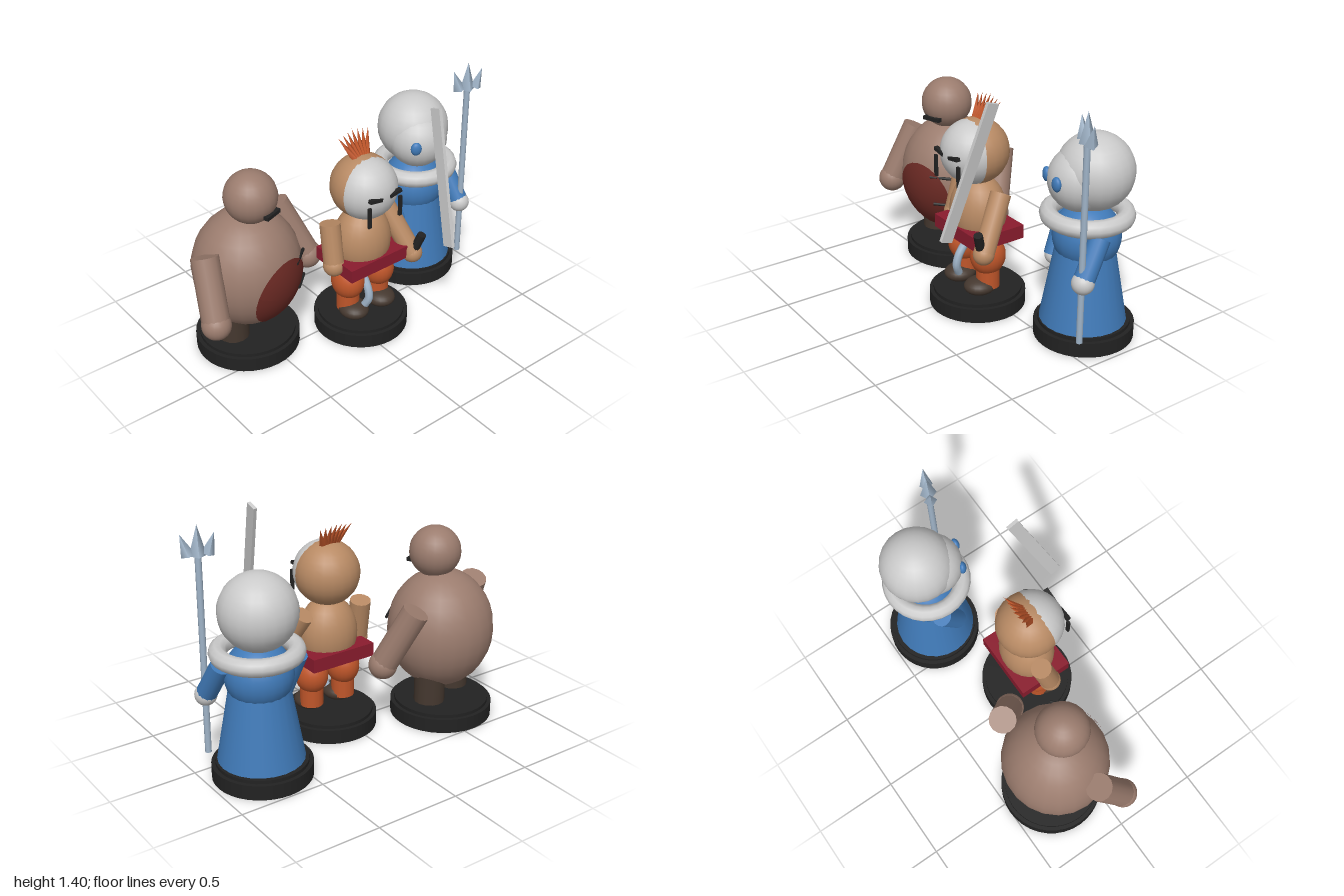
import * as THREE from 'three';

const paint = (name, color) => {
  const m = new THREE.MeshStandardMaterial({ color });
  m.name = name;
  return m;
};

export function createModel() {
  const black = paint('black', 0x222222);
  const umber = paint('dusty brown skin', 0x9b7c6e);
  const darkBrown = paint('dark brown', 0x45382f);
  const rust = paint('dark rust', 0x6c2a24);
  const tan = paint('tan skin', 0xb88a64);
  const white = paint('pale grey', 0xcacaca);
  const orange = paint('orange', 0xc0562a);
  const crimson = paint('crimson', 0x8a1c2e);
  const blue = paint('blue', 0x407ab8);
  const steel = paint('pale steel', 0xa0b4c8);

  const model = new THREE.Group();
  const V = (p) => new THREE.Vector3(...p);
  const UP = new THREE.Vector3(0, 1, 0);
  const figure = (name) => {
    const g = new THREE.Group();
    g.name = name;
    model.add(g);
    return g;
  };
  const add = (g, name, geo, mat, pos = [0, 0, 0], rot = [0, 0, 0]) => {
    const m = new THREE.Mesh(geo, mat);
    m.name = name;
    m.position.set(...pos);
    m.rotation.set(...rot);
    g.add(m);
    return m;
  };
  const ball = (g, name, mat, pos, r, rot) => {
    const m = add(g, name, new THREE.SphereGeometry(1, 22, 16), mat, pos, rot);
    m.scale.set(...(Array.isArray(r) ? r : [r, r, r]));
    return m;
  };
  const box = (g, name, mat, size, pos, rot) =>
    add(g, name, new THREE.BoxGeometry(...size), mat, pos, rot);
  // Cylinder or cone running from point a to point b
  const rod = (g, name, mat, a, b, ra, rb = ra, sides = 14) => {
    const d = V(b).sub(V(a));
    const geo = new THREE.CylinderGeometry(rb, ra, d.length(), sides);
    const m = add(g, name, geo, mat, V(a).add(V(b)).multiplyScalar(0.5).toArray());
    m.quaternion.setFromUnitVectors(UP, d.normalize());
    return m;
  };
  const arm = (g, side, sleeve, skin, shoulder, hand, r, handR) => {
    rod(g, side + 'Arm', sleeve, shoulder, hand, r);
    ball(g, side + 'Hand', skin, hand, handR);
  };
  // Stepped round stand
  const stand = (g, x, z, r) => {
    rod(g, 'baseLower', black, [x, 0, z], [x, 0.085, z], r, r, 36);
    rod(g, 'baseUpper', black, [x, 0.085, z], [x, 0.105, z], r - 0.022, r - 0.022, 36);
  };

  // ---- Large round figure, turned slightly to its left
  const brute = figure('largeFigure');
  stand(brute, -0.56, -0.205, 0.3);
  ball(brute, 'body', umber, [-0.555, 0.54, -0.185], [0.315, 0.355, 0.305]);
  ball(brute, 'head', umber, [-0.537, 1.0, -0.14], 0.15);
  [[-0.685, -0.16], [-0.433, -0.25]].forEach(([x, z], i) =>
    rod(brute, i ? 'leftLeg' : 'rightLeg', darkBrown, [x, 0.125, z], [x, 0.4, z], 0.09));
  arm(brute, 'right', umber, umber, [-0.86, 0.755, -0.12], [-0.91, 0.415, 0.035], 0.078, 0.083);
  arm(brute, 'left', umber, umber, [-0.25, 0.755, -0.33], [-0.125, 0.415, -0.2], 0.078, 0.083);
  box(brute, 'mouth', black, [0.115, 0.022, 0.03], [-0.492, 0.933, -0.007], [0, 0.33, 0]);

  // Belly patch: a cap following the body
  const cap = new THREE.SphereGeometry(1, 26, 8, 0, Math.PI * 2, 0, 0.66);
  cap.applyQuaternion(new THREE.Quaternion().setFromUnitVectors(UP, V([0.24, -0.28, 0.93]).normalize()));
  cap.scale(0.32, 0.36, 0.31);
  cap.computeVertexNormals();
  add(brute, 'bellyPatch', cap, rust, [-0.555, 0.54, -0.185]);
  rod(brute, 'upperStitch', black, [-0.4, 0.61, 0.075], [-0.28, 0.61, -0.025], 0.009, 0.009, 6);
  rod(brute, 'lowerStitch', black, [-0.38, 0.44, 0.065], [-0.28, 0.44, -0.025], 0.009, 0.009, 6);

  // ---- Masked swordsman
  const fighter = figure('maskedFigure');
  stand(fighter, 0.07, 0.06, 0.277);
  ball(fighter, 'torso', tan, [0.075, 0.58, 0.06], [0.175, 0.22, 0.155]);
  ball(fighter, 'head', tan, [0.07, 0.94, 0.07], 0.187);
  ball(fighter, 'mask', white, [0.07, 0.94, 0.09], 0.184);
  for (const s of [-1, 1]) {
    const side = s < 0 ? 'right' : 'left';
    const x = 0.075 + s * 0.11;
    box(fighter, side + 'Brow', black, [0.085, 0.02, 0.025], [0.07 + s * 0.068, 0.955, 0.262], [0, 0, s * 0.17]);
    box(fighter, side + 'MaskStripe', black, [0.02, 0.125, 0.014], [0.07 + s * 0.109, 0.858, 0.262]);
    ball(fighter, side + 'Thigh', orange, [x, 0.34, 0.07], [0.095, 0.115, 0.105]);
    rod(fighter, side + 'Shin', orange, [x, 0.15, 0.07], [x, 0.3, 0.07], 0.068);
    ball(fighter, side + 'Shoe', darkBrown, [0.072 + s * 0.1, 0.155, 0.115], [0.086, 0.05, 0.095]);
  }
  box(fighter, 'belt', crimson, [0.41, 0.08, 0.325], [0.078, 0.477, 0.057]);
  arm(fighter, 'right', tan, tan, [-0.125, 0.74, 0.02], [-0.14, 0.49, 0.075], 0.06, 0.064);
  arm(fighter, 'left', tan, tan, [0.255, 0.735, 0.035], [0.335, 0.445, 0.205], 0.06, 0.06);

  // Fan of hair spikes leaning back
  for (let i = -3; i <= 3; i++) {
    const tip = [0.07 + i * 0.035, 1.25 - Math.abs(i) * 0.006, -0.03 + Math.abs(i) * 0.004];
    rod(fighter, 'hairSpike', orange, [0.07 + i * 0.012, 1.1, 0.055], tip, 0.024, 0, 5);
  }

  // Hanging curved tail
  const curve = new THREE.CatmullRomCurve3([
    [0.035, 0.36, 0.13], [0.035, 0.3, 0.168], [0.032, 0.24, 0.18], [0.015, 0.17, 0.15],
  ].map(V));
  add(fighter, 'tail', new THREE.TubeGeometry(curve, 14, 0.024, 8), steel);

  // Sword
  rod(fighter, 'swordGrip', black, [0.335, 0.48, 0.225], [0.358, 0.585, 0.258], 0.026, 0.026, 10);
  const blade = box(fighter, 'swordBlade', white, [0.02, 0.786, 0.07], [0.408, 0.985, 0.351]);
  blade.quaternion.setFromUnitVectors(UP, V([0.08, 0.744, -0.242]).normalize());

  // ---- Robed figure, turned slightly to its right
  const robed = figure('robedFigure');
  stand(robed, 0.697, -0.214, 0.277);
  rod(robed, 'robe', blue, [0.697, 0.105, -0.205], [0.697, 0.72, -0.205], 0.24, 0.13, 24);
  ball(robed, 'upperRobe', blue, [0.7, 0.6, -0.21], 0.188);
  add(robed, 'furCollar', new THREE.TorusGeometry(0.208, 0.049, 10, 28), white,
    [0.703, 0.73, -0.205], [Math.PI / 2, 0, 0]);
  ball(robed, 'hood', white, [0.712, 0.967, -0.24], 0.213);
  ball(robed, 'face', white, [0.683, 0.93, -0.165], 0.177);
  ball(robed, 'rightEye', blue, [0.56, 0.945, -0.037], [0.033, 0.041, 0.022], [0, -0.5, 0]);
  ball(robed, 'leftEye', blue, [0.702, 0.945, 0.01], [0.033, 0.041, 0.022], [0, -0.1, 0]);
  arm(robed, 'right', blue, white, [0.485, 0.67, -0.25], [0.515, 0.42, -0.14], 0.058, 0.052);
  arm(robed, 'left', blue, white, [0.885, 0.67, -0.14], [0.913, 0.46, -0.012], 0.058, 0.062);

  // Trident
  const trident = new THREE.Group();
  trident.name = 'trident';
  trident.position.set(0.912, 0, -0.004);
  trident.rotation.y = -0.34;
  robed.add(trident);
  rod(trident, 'shaft', steel, [0, 0.107, 0], [0, 1.27, 0], 0.018, 0.018, 10);
  rod(trident, 'middleProng', steel, [0, 1.24, 0], [0, 1.405, 0], 0.046, 0, 4);
  for (const s of [-1, 1])
    rod(trident, 'sideProng', steel, [s * 0.05, 1.245, 0], [s * 0.088, 1.36, 0], 0.037, 0, 4);

  return model;
}
